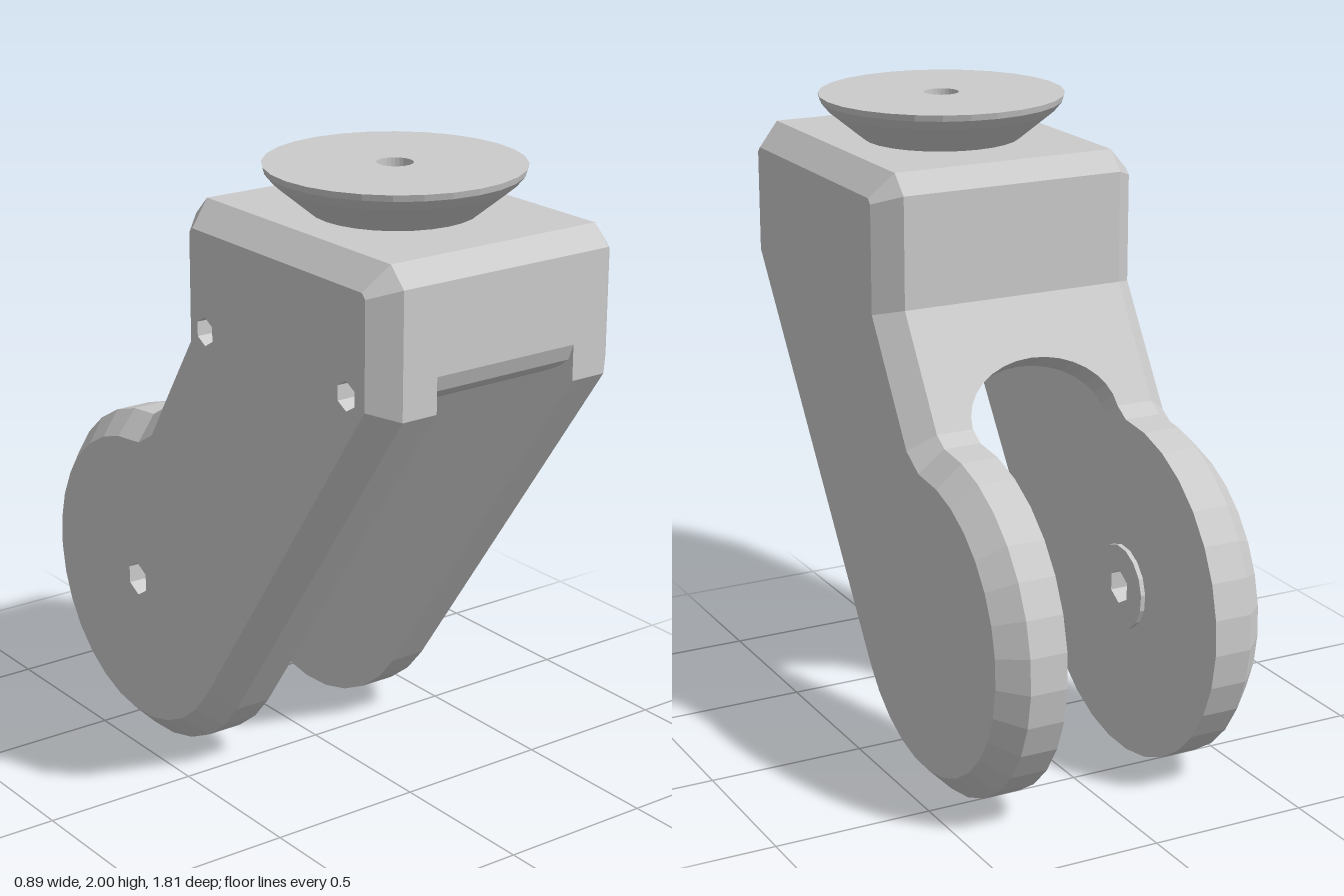
import * as THREE from 'three';
import { mergeGeometries } from 'three/addons/utils/BufferGeometryUtils.js';

const mat = new THREE.MeshStandardMaterial({ color: 0xcccccc, flatShading: true });
const V = (x, y) => new THREE.Vector2(x, y);
const SLOT = 0.25, SHOULDER = 0.37, SIDE = 0.445, CHAMFER = 0.075;
const AXLE = V(0.36, 0.545), R = 0.545;

// Side profiles are drawn with u = -z and v = y, then turned so that depth runs along x.
function add(group, name, geo) {
  const mesh = new THREE.Mesh(geo, mat);
  mesh.name = name;
  group.add(mesh);
  return mesh;
}

// Strip of walls through rings of [points, depth], outward for counter-clockwise points
function walls(rings) {
  const pos = [], n = rings[0][0].length;
  for (let k = 0; k + 1 < rings.length; k++) {
    const [p, d] = rings[k], [q, e] = rings[k + 1];
    for (let i = 0; i < n; i++) {
      const j = (i + 1) % n;
      const a = [p[i].x, p[i].y, d], b = [p[j].x, p[j].y, d];
      const c = [q[j].x, q[j].y, e], f = [q[i].x, q[i].y, e];
      pos.push(...a, ...b, ...c, ...a, ...c, ...f);
    }
  }
  return finish(new THREE.BufferGeometry().setAttribute('position', new THREE.Float32BufferAttribute(pos, 3)));
}

function finish(geo) {
  const g = geo.index ? geo.toNonIndexed() : geo;
  g.deleteAttribute('uv');
  g.computeVertexNormals();
  return g;
}

// Flat face at a depth, with holes, facing +depth or -depth
function cap(points, holes, depth, facing) {
  const s = new THREE.Shape(points);
  s.holes = holes.map(h => new THREE.Path(h));
  const g = new THREE.ShapeGeometry(s);
  if (facing < 0) {
    const ix = g.index.array;
    for (let i = 0; i < ix.length; i += 3) [ix[i], ix[i + 1]] = [ix[i + 1], ix[i]];
  }
  return finish(g.translate(0, 0, depth));
}

// Clockwise polygon, so its walls face inward
function ring(c, r, n) {
  return Array.from({ length: n }, (_, i) => {
    const a = -i / n * Math.PI * 2 + 0.5;
    return V(c.x + r * Math.cos(a), c.y + r * Math.sin(a));
  });
}

// Fork side outline, counter-clockwise
function outline() {
  const p = [V(-0.91, 1.42), V(-0.91, 1.8), V(-0.85, 1.86), V(0.04, 1.86), V(0.1, 1.8),
    V(0.1, 1.45), V(0.31, 1.12)];
  for (let i = 0; i <= 20; i++) {
    const a = THREE.MathUtils.degToRad(90 - 235 * i / 20);
    p.push(V(AXLE.x + R * Math.cos(a), AXLE.y + R * Math.sin(a)));
  }
  return p.reverse();
}

// Move every corner inward along its mitre
function inset(p, d) {
  const n = p.length;
  return p.map((c, i) => {
    const e = c.clone().sub(p[(i + n - 1) % n]).normalize();
    const f = p[(i + 1) % n].clone().sub(c).normalize();
    const m = V(-e.y - f.y, e.x + f.x);
    return m.multiplyScalar(d / (1 + e.dot(f))).add(c);
  });
}

function buildArm(side) {
  const full = outline(), small = inset(full, CHAMFER);
  const axle = ring(AXLE, 0.055, 6);
  const screws = [V(-0.05, 1.48), V(-0.75, 1.47)].map(c => ring(c, 0.045, 6));
  const parts = [];
  if (side > 0) {
    // Blind axle hole, plain outer face
    parts.push(walls([[full, SLOT], [full, SHOULDER], [small, SIDE]]),
      cap(small, [], SIDE, 1), cap(full, [axle], SLOT, -1),
      walls([[axle, SLOT], [axle, SHOULDER]]), cap(axle, [], SHOULDER, -1));
  } else {
    // Axle hole right through, two blind screw sockets
    parts.push(walls([[small, -SIDE], [full, -SHOULDER], [full, -SLOT]]),
      cap(small, [axle, ...screws], -SIDE, -1), cap(full, [axle], -SLOT, 1),
      walls([[axle, -SIDE], [axle, -SLOT]]));
    for (const s of screws) parts.push(walls([[s, -SIDE], [s, -0.33]]), cap(s, [], -0.33, -1));
  }
  return mergeGeometries(parts).rotateY(Math.PI / 2);
}

// Raised washer around the axle hole on the inner face
function buildBoss(side) {
  const outer = ring(AXLE, 0.135, 16).reverse(), hole = ring(AXLE, 0.055, 6);
  const [a, b] = side > 0 ? [0.235, SLOT] : [-SLOT, -0.235];
  return mergeGeometries([walls([[outer, a], [outer, b]]), walls([[hole, a], [hole, b]]),
    cap(outer, [hole], side > 0 ? a : b, -side)]).rotateY(Math.PI / 2);
}

// Block across the slot from a side profile
function bridge(points) {
  return new THREE.ExtrudeGeometry(new THREE.Shape(points), { depth: 2 * SLOT, bevelEnabled: false })
    .translate(0, 0, -SLOT).rotateY(Math.PI / 2);
}

export function createModel() {
  const model = new THREE.Group();
  model.name = 'casterFork';

  for (const side of [1, -1]) {
    const tag = side > 0 ? 'left' : 'right';
    add(model, tag + 'Arm', buildArm(side));
    add(model, tag + 'AxleBoss', buildBoss(side));
  }

  // Head between the arms: front, bored middle and back
  add(model, 'headFront', bridge([V(-0.58, 1.86), V(-0.85, 1.86), V(-0.91, 1.8), V(-0.91, 1.53),
    V(-0.89, 1.48), V(-0.85, 1.45), V(-0.79, 1.42), V(-0.58, 1.42)]));
  add(model, 'headBack', bridge([V(-0.2, 1.86), V(0.04, 1.86), V(0.1, 1.8), V(0.1, 1.45),
    V(0.017, 1.39), V(-0.03, 1.42), V(-0.2, 1.42)]));
  const block = new THREE.Shape([V(-SLOT, -0.58), V(SLOT, -0.58), V(SLOT, -0.2), V(-SLOT, -0.2)]);
  block.holes.push(new THREE.Path(ring(V(0, -0.39), 0.055, 12)));
  add(model, 'headMiddle', new THREE.ExtrudeGeometry(block, { depth: 0.44, bevelEnabled: false })
    .rotateX(-Math.PI / 2).translate(0, 1.42, 0));

  // Sloping back web with an arched lower edge
  const web = [V(-SLOT, 0), V(-SLOT, -0.39)];
  for (let i = 1; i < 16; i++) {
    const a = Math.PI * (1 - i / 16);
    web.push(V(SLOT * Math.cos(a), -0.39 + 0.19 * Math.sin(a)));
  }
  web.push(V(SLOT, -0.39), V(SLOT, 0));
  const webMesh = add(model, 'archedWeb',
    new THREE.ExtrudeGeometry(new THREE.Shape(web), { depth: 0.09, bevelEnabled: false }));
  webMesh.rotation.x = Math.atan2(0.21, 0.33);
  webMesh.position.set(0, 1.45, -0.1);

  // Flared mounting disc with a bore
  const disc = [V(0.055, 1.86), V(0.25, 1.86), V(0.36, 1.95), V(0.385, 1.98), V(0.39, 2), V(0.055, 2), V(0.055, 1.86)];
  add(model, 'mountingDisc', new THREE.LatheGeometry(disc, 28).translate(0, 0, 0.39));

  return model;
}
